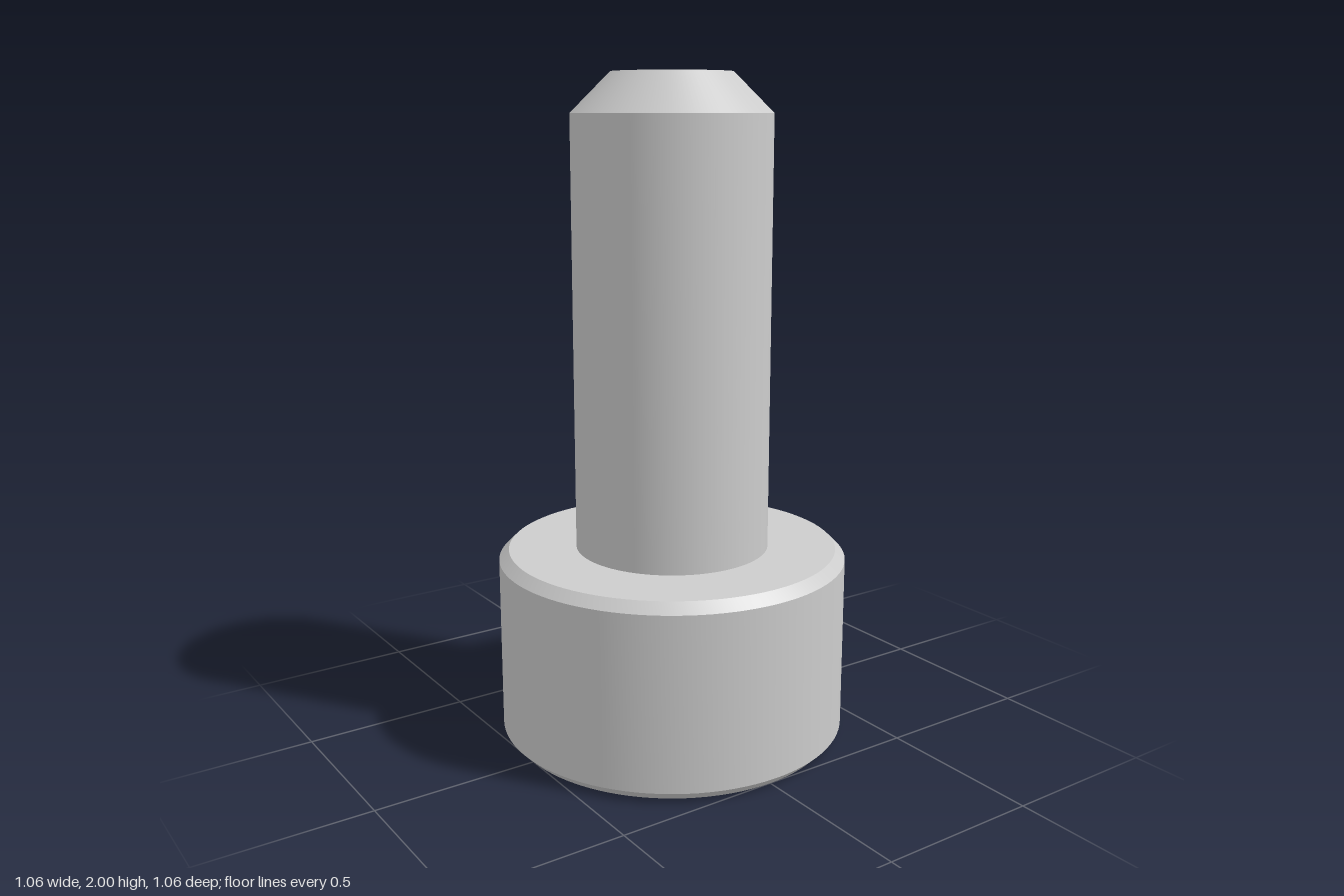
import * as THREE from 'three';
import { toCreasedNormals } from 'three/addons/utils/BufferGeometryUtils.js';

const SEGMENTS = 96;
const SOCKET_R = 0.272; // corner radius of the hex, also the countersink rim
const SOCKET_DEPTH = 0.3;

// Turned part from [radius, height] pairs, with sharp chamfer edges
function turned(profile) {
  const points = profile.map(([r, y]) => new THREE.Vector2(r, y));
  return toCreasedNormals(new THREE.LatheGeometry(points, SEGMENTS), 0.4);
}

// Hex recess: conical countersink, six flat walls and a flat floor
function hexSocket() {
  const apothem = SOCKET_R * Math.cos(Math.PI / 6);
  const rings = [[], [], [], []];
  for (let i = 0; i <= SEGMENTS; i++) {
    const a = (i / SEGMENTS) * Math.PI * 2;
    const local = ((i % (SEGMENTS / 6)) / SEGMENTS) * Math.PI * 2 - Math.PI / 6;
    const hex = apothem / Math.cos(local);
    const at = (r, y) => [r * Math.sin(a), y, r * Math.cos(a)];
    rings[0].push(at(SOCKET_R, 0));
    rings[1].push(at(hex, SOCKET_R - hex));
    rings[2].push(at(hex, SOCKET_DEPTH));
    rings[3].push(at(0, SOCKET_DEPTH));
  }
  const positions = [];
  for (let j = 0; j < 3; j++) {
    for (let i = 0; i < SEGMENTS; i++) {
      const a = rings[j][i], b = rings[j][i + 1];
      const c = rings[j + 1][i + 1], d = rings[j + 1][i];
      positions.push(...a, ...c, ...b);
      if (j < 2) positions.push(...a, ...d, ...c);
    }
  }
  const geometry = new THREE.BufferGeometry();
  geometry.setAttribute('position', new THREE.Float32BufferAttribute(positions, 3));
  return toCreasedNormals(geometry, 0.4);
}

export function createModel() {
  const steel = new THREE.MeshStandardMaterial({ color: 0xcccccc });
  steel.name = 'steel';
  const model = new THREE.Group();
  model.name = 'socketHeadScrew';
  const add = (name, geometry) => {
    const mesh = new THREE.Mesh(geometry, steel);
    mesh.name = name;
    model.add(mesh);
  };

  // Chamfered cylindrical head, open where the socket begins
  add('head', turned([
    [SOCKET_R, 0], [0.5, 0], [0.53, 0.03], [0.53, 0.559], [0.5, 0.589], [0.294, 0.589],
  ]));
  // Plain shank with a chamfered tip
  add('shank', turned([[0.294, 0.589], [0.294, 1.884], [0.177, 2], [0, 2]]));
  add('hexSocket', hexSocket());
  return model;
}
